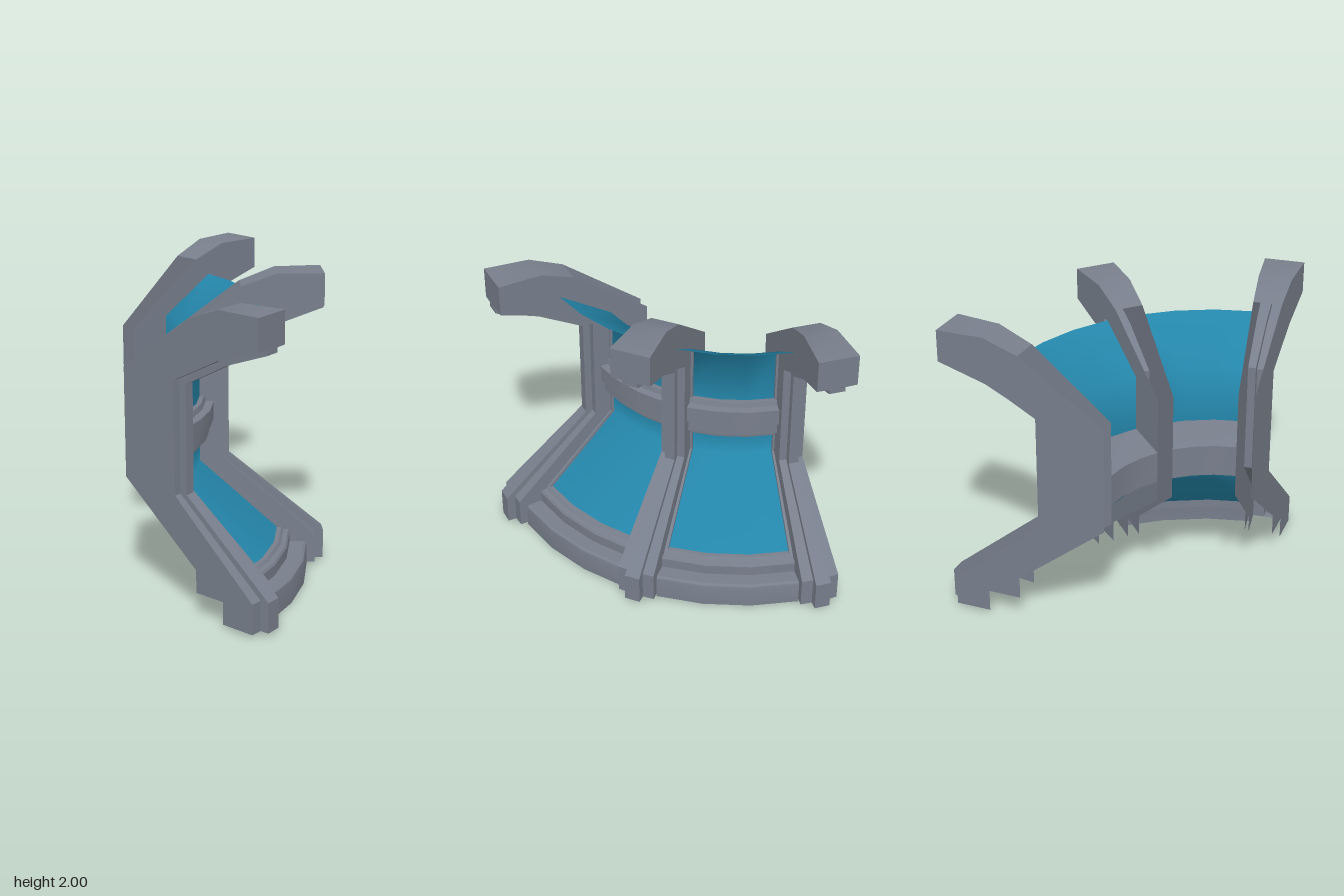
import * as THREE from 'three';
import { toCreasedNormals } from 'three/addons/utils/BufferGeometryUtils.js';

const metal = new THREE.MeshStandardMaterial({ color: 0x787f8c, side: THREE.DoubleSide });
metal.name = 'grey metal';
const glass = new THREE.MeshStandardMaterial({ color: 0x2486aa, side: THREE.DoubleSide });
glass.name = 'teal panel';

// Everything turns about one vertical axis; angles in degrees from +x towards +z
const AXIS_X = -0.87, AXIS_Z = -0.945;
const RIBS = [7.2, 47.85, 88.5];
const HALF = 4.18;   // half wedge angle of a rib
const RIDGE = 1.65;  // half wedge angle of its raised ridge
const FRAME = 0.8;   // angular width of the panel frame

function at([r, y], deg) {
  const a = THREE.MathUtils.degToRad(deg);
  return [AXIS_X + r * Math.cos(a), y, AXIS_Z + r * Math.sin(a)];
}

// Skin over rows of points
function loft(rows, smooth = false) {
  const n = rows[0].length, index = [];
  for (let i = 0; i < rows.length - 1; i++) {
    for (let j = 0; j < n - 1; j++) {
      const a = i * n + j, b = a + n;
      index.push(a, a + 1, b, a + 1, b + 1, b);
    }
  }
  const g = new THREE.BufferGeometry();
  g.setAttribute('position', new THREE.Float32BufferAttribute(rows.flat(2), 3));
  g.setIndex(index);
  g.computeVertexNormals();
  return smooth ? g : toCreasedNormals(g, 0.4);
}

// Profile of [radius, height] points swept between two angles
function sweep(profile, a0, a1, steps = 1, smooth = false) {
  const rows = [];
  for (let i = 0; i <= steps; i++) {
    const a = a0 + (a1 - a0) * i / steps;
    rows.push(profile.map(p => at(p, a)));
  }
  return loft(rows, smooth);
}

// Flat outline standing in the radial plane at an angle
function radialPlate(outline, deg) {
  const g = new THREE.ShapeGeometry(new THREE.Shape(outline.map(p => new THREE.Vector2(...p))));
  const pos = g.attributes.position;
  for (let i = 0; i < pos.count; i++) pos.setXYZ(i, ...at([pos.getX(i), pos.getY(i)], deg));
  g.computeVertexNormals();
  return g;
}

function add(group, name, geometry, material = metal) {
  const m = new THREE.Mesh(geometry, material);
  m.name = name;
  group.add(m);
}

const SHOULDER = [[1.775, 0.02], [1.775, 0.22], [1.15, 0.77], [1.15, 1.51], [1.5, 1.69], [1.815, 1.79]];
const RIDGE_LINE = [[1.835, 0.02], [1.835, 0.22], [1.2, 0.77], [1.2, 1.48], [1.515, 1.65], [1.815, 1.76]];
const CAP = [[1.815, 1.79], [1.815, 2], [1.51, 2], [1.28, 1.915]];
const BACK = [[0.73, 1.52], [0.73, 0.8], [1.32, 0.32], [1.32, 0.17], [1.54, 0.17], [1.54, 0.02]];

// Open-backed rib with a stepped front
function makeRib(angle) {
  const rib = new THREE.Group();
  rib.name = 'rib';
  for (const s of [-1, 1]) {
    const edge = angle + s * RIDGE;
    add(rib, 'ribSide', radialPlate([...SHOULDER, ...CAP.slice(1), ...BACK], angle + s * HALF));
    add(rib, 'ribShoulder', sweep(SHOULDER, edge, angle + s * HALF));
    add(rib, 'ridgeWall', loft([SHOULDER, RIDGE_LINE].map(l => l.map(p => at(p, edge)))));
  }
  add(rib, 'ridge', sweep(RIDGE_LINE, angle - RIDGE, angle + RIDGE));
  add(rib, 'ridgeFoot', sweep([SHOULDER[0], RIDGE_LINE[0]], angle - RIDGE, angle + RIDGE));
  add(rib, 'ridgeEnd', sweep([RIDGE_LINE[5], SHOULDER[5]], angle - RIDGE, angle + RIDGE));
  add(rib, 'ribCap', sweep(CAP, angle - HALF, angle + HALF));
  return rib;
}

const LOWER = [[1.52, 0.28], [1.01, 0.75], [1.01, 0.9]];
const UPPER = [[1.01, 1.19], [1.01, 1.56], [1.39, 1.8]];
const LOWER_FRAME = [[1.55, 0.28], [1.03, 0.76], [1.03, 0.9]];
const UPPER_FRAME = [[1.03, 1.19], [1.03, 1.55], [1.41, 1.8]];
const RAIL = [[1.01, 0.9], [1.03, 0.9], [1.035, 0.94], [1.07, 0.945], [1.07, 1.025], [1.1, 1.035],
  [1.1, 1.15], [1.05, 1.155], [1.04, 1.19], [1.01, 1.19], [0.73, 1.15], [0.73, 0.94], [1.01, 0.94]];
const SKIRT = [[1.52, 0.28], [1.55, 0.28], [1.565, 0.26], [1.595, 0.255], [1.605, 0.24], [1.605, 0.17],
  [1.7, 0.17], [1.715, 0.16], [1.72, 0.14], [1.72, 0]];

// Curved bay between two ribs
function makeBay(a0, a1) {
  const bay = new THREE.Group();
  bay.name = 'bay';
  add(bay, 'lowerPanel', sweep(LOWER, a0, a1, 3, true), glass);
  add(bay, 'upperPanel', sweep(UPPER, a0, a1, 3, true), glass);
  add(bay, 'waistRail', sweep(RAIL, a0, a1, 3));
  add(bay, 'baseSkirt', sweep(SKIRT, a0, a1, 3));
  // Raised side strips of the panel frames
  for (const [edge, inner] of [[a0, a0 + FRAME], [a1, a1 - FRAME]]) {
    for (const [panel, frame] of [[LOWER, LOWER_FRAME], [UPPER, UPPER_FRAME]]) {
      add(bay, 'frameStrip', sweep(frame, edge, inner));
      add(bay, 'frameLip', loft([panel, frame].map(l => l.map(p => at(p, inner)))));
    }
  }
  return bay;
}

export function createModel() {
  const model = new THREE.Group();
  model.name = 'curvedWallSection';
  RIBS.forEach(a => model.add(makeRib(a)));
  for (let i = 0; i < RIBS.length - 1; i++) {
    model.add(makeBay(RIBS[i] + HALF, RIBS[i + 1] - HALF));
  }
  return model;
}
